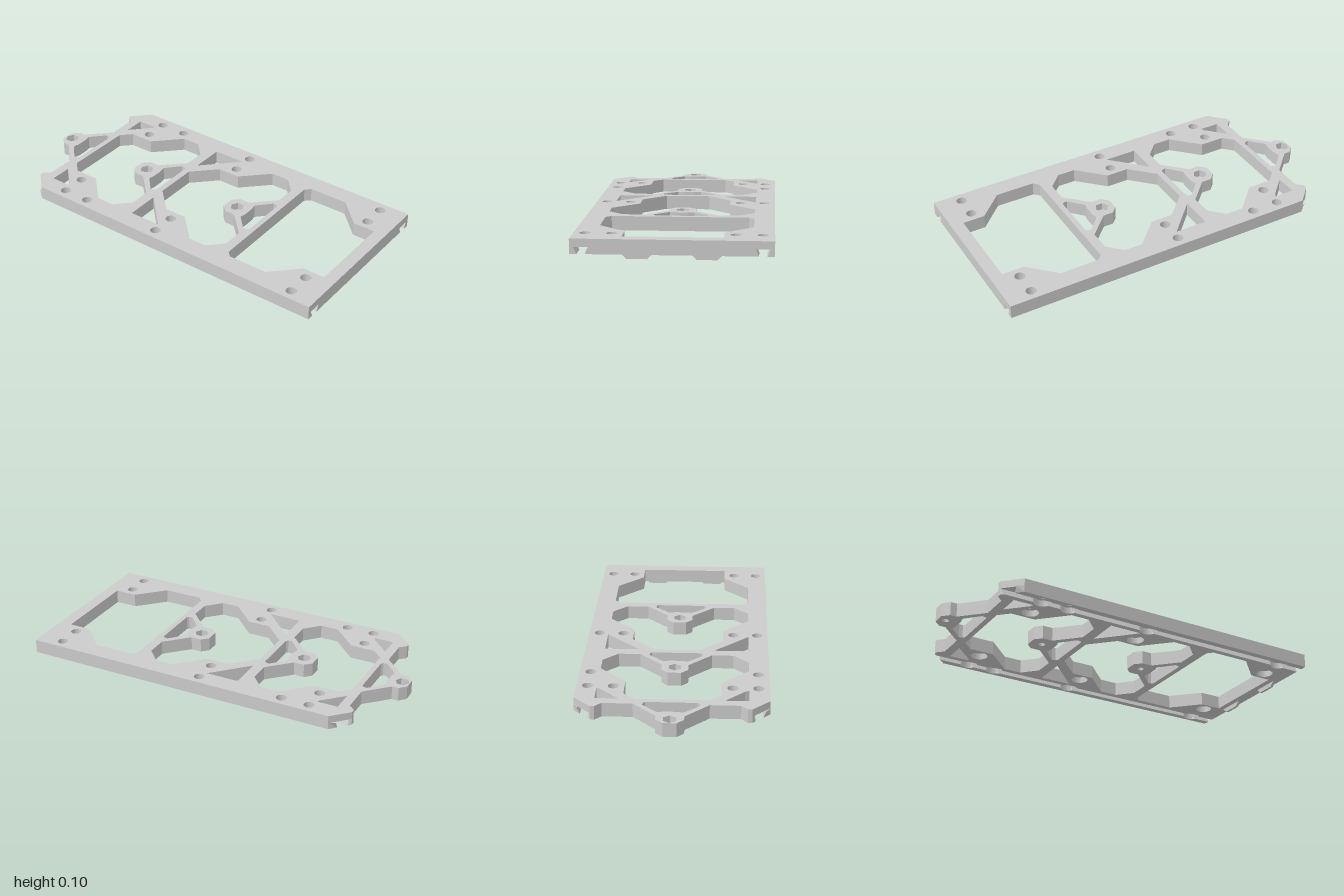
import * as THREE from 'three';

const TOP = 0.1, MID = 0.06, LOW = 0.025; // plate top, groove ceiling, underside
const BOSSES = [-0.96, -0.4, 0.225];
const INNER_HOLES = [-0.625, 0.005, 0.86];
const OUTER_HOLES = [-0.625, -0.47, 0.005, 0.86];
const HOLE_X = 0.433, BORE = 0.045;

const vec = (pts) => pts.map(([x, z]) => new THREE.Vector2(x, z));
const flip = (pts) => pts.map(([x, z]) => [-x, z]);
const mirror = (half) => [...half, ...flip(half).reverse()];
const ring = (cx, cz, r, n, start = 0) => Array.from({ length: n }, (_, i) => {
  const a = start + (i / n) * Math.PI * 2;
  return [cx + r * Math.cos(a), cz + r * Math.sin(a)];
});

// Flat layer from an (x, z) outline, filling yLow..yHigh
function layer(outline, holes, yLow, yHigh) {
  const shape = new THREE.Shape(vec(outline));
  shape.holes = holes.map((h) => new THREE.Path(vec(h)));
  const geo = new THREE.ExtrudeGeometry(shape, { depth: yHigh - yLow, bevelEnabled: false });
  return geo.rotateX(Math.PI / 2).translate(0, yHigh, 0);
}

// Straight edge at x with round counterbore notches, running back to front.
// side -1 cuts towards the middle, +1 towards the rim.
function notchedEdge(x, side) {
  const pts = [];
  const a0 = Math.acos(Math.abs(x - HOLE_X) / BORE);
  for (const z of OUTER_HOLES) {
    for (let i = 0; i <= 12; i++) {
      const a = -a0 + (2 * a0 * i) / 12;
      pts.push([HOLE_X + side * BORE * Math.cos(a), z + BORE * Math.sin(a)]);
    }
  }
  return pts;
}

// Slope groove walls: limit |x| of the vertices at the groove ceiling
function undercut(geo, limit) {
  const p = geo.attributes.position;
  for (let i = 0; i < p.count; i++) {
    if (p.getY(i) > MID - 1e-4) p.setX(i, Math.sign(p.getX(i)) * limit(Math.abs(p.getX(i))));
  }
  geo.computeVertexNormals();
  return geo;
}

// Back edge with the rear boss, and the large and small window cut-outs
const BACK = [[0.035, -1], [0.07, -0.965], [0.07, -0.93], [0.19, -0.81], [0.345, -0.81], [0.378, -0.845], [0.4, -0.845]];

const bayEnd = (b) => [
  [0.245, b - 0.17], [0.385, b - 0.03], [0.385, b + 0.07], [0.305, b + 0.147], [0.19, b + 0.147],
  [0.07, b + 0.027], [0.07, b - 0.03], [0.035, b - 0.065],
];

function windows() {
  const list = [
    mirror([[0.19, -0.76], [0.245, -0.705], ...bayEnd(BOSSES[1])]),
    mirror([[0.12, -0.195], [0.245, -0.07], ...bayEnd(BOSSES[2])]),
    mirror([[0.357, 0.425], [0.385, 0.453], [0.385, 0.67], [0.245, 0.81], [0.245, 0.932]]),
  ];
  for (const b of BOSSES) {
    list.push(mirror([[0.03, b + 0.075], [0.065, b + 0.068], [0.143, b + 0.14], [0.14, b + 0.16], [0.13, b + 0.17]]));
  }
  const corners = [
    [[0.265, -0.76], [0.385, -0.76], [0.385, -0.65], [0.365, -0.66]],
    [[0.2, -0.195], [0.385, -0.195], [0.385, -0.015]],
  ];
  for (const c of corners) list.push(c, flip(c));
  return list;
}

export function createModel() {
  const group = new THREE.Group();
  const material = new THREE.MeshStandardMaterial({ color: 0xcccccc, flatShading: true });
  const add = (name, geo) => {
    const mesh = new THREE.Mesh(geo, material);
    mesh.name = name;
    group.add(mesh);
    return mesh;
  };

  // Upper deck with screw holes and hexagonal nut pockets
  const topHoles = windows();
  for (const s of [-1, 1]) {
    for (const z of INNER_HOLES) topHoles.push(ring(s * 0.302, z, 0.028, 24));
    for (const z of OUTER_HOLES) topHoles.push(ring(s * HOLE_X, z, 0.028, 24));
  }
  for (const b of BOSSES) topHoles.push(ring(0, b, 0.037, 6, Math.PI / 2));
  add('upperDeck', layer(mirror([...BACK, [0.49, -0.755], [0.49, 1]]), topHoles, MID, TOP));

  // Lower frame between the two dovetail grooves, with counterbores
  const lowHoles = windows();
  for (const s of [-1, 1]) for (const z of INNER_HOLES) lowHoles.push(ring(s * 0.302, z, BORE, 32));
  for (const b of BOSSES) lowHoles.push(ring(0, b, 0.018, 20));
  const inner = [...BACK, [0.415, -0.83], ...notchedEdge(0.415, -1), [0.415, 1]];
  add('lowerFrame', undercut(layer(mirror(inner), lowHoles, LOW, MID), (x) => Math.min(x, 0.4)));

  // Outer rails closing the grooves
  const rail = [[0.49, 1], [0.49, -0.755], [0.455, -0.79], ...notchedEdge(0.455, 1), [0.455, 1]];
  for (const [name, pts] of [['leftRail', rail], ['rightRail', flip(rail)]]) {
    add(name, undercut(layer(pts, [], LOW, MID), (x) => Math.max(x, 0.47)));
  }

  // Thin locating tabs under the front bar
  for (const [name, s] of [['leftTab', 1], ['rightTab', -1]]) {
    const tab = new THREE.Shape(vec([[-0.075, LOW], [-0.05, 0], [0.05, 0], [0.075, LOW]]));
    const geo = new THREE.ExtrudeGeometry(tab, { depth: 0.015, bevelEnabled: false });
    add(name, geo).position.set(s * 0.168, 0, 0.965);
  }
  return group;
}
